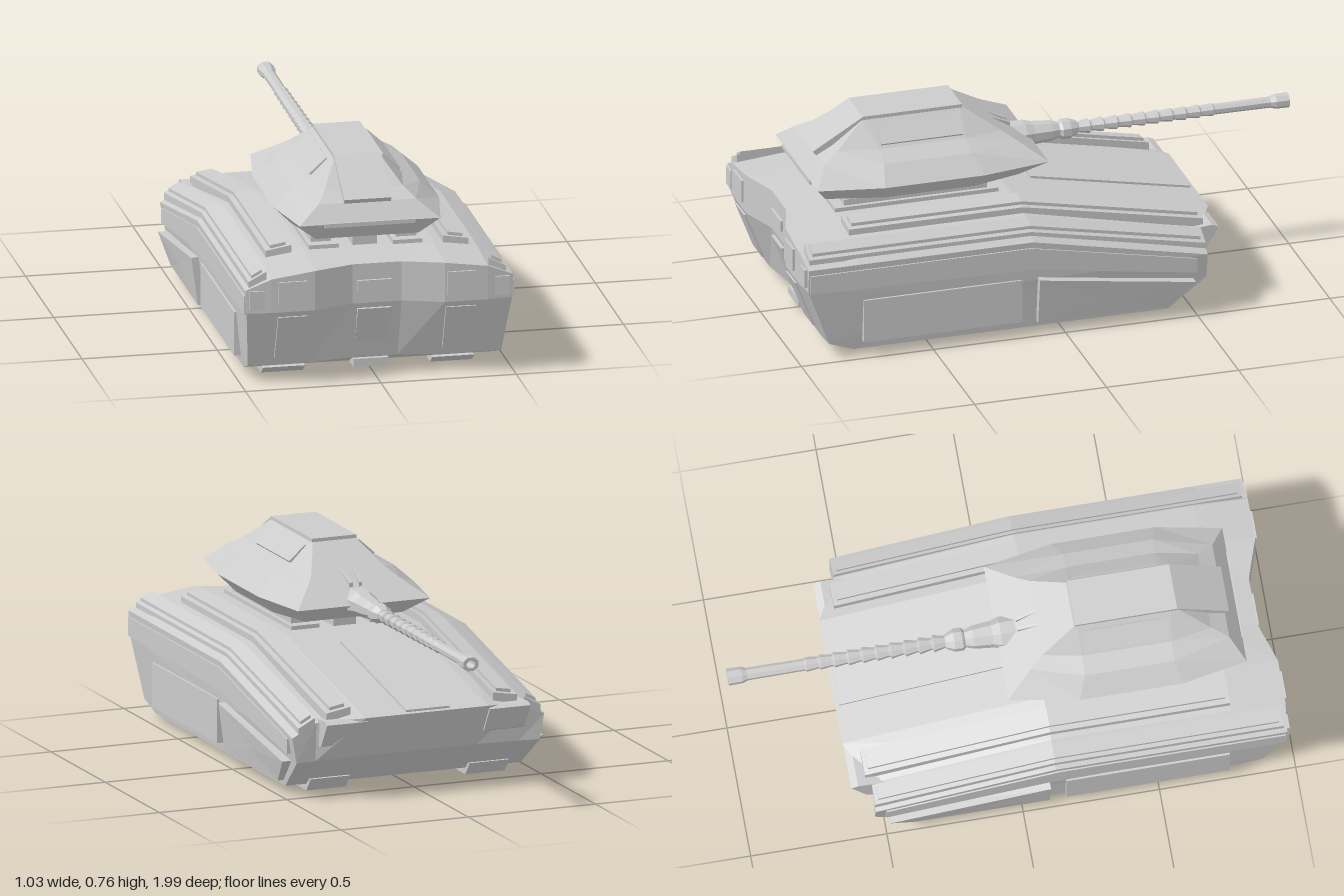
import * as THREE from 'three';

const mat = new THREE.MeshStandardMaterial({ color: 0xcccccc, flatShading: true, side: THREE.DoubleSide });
const C = -0.01; // centre line of the fittings

// Closed solid through rings of [x, y, z] points, capped at both ends
function loft(rings) {
  const n = rings[0].length, pos = [];
  const tri = (...p) => p.forEach(q => pos.push(...q));
  for (let i = 0; i < rings.length - 1; i++) {
    for (let j = 0; j < n; j++) {
      const a = rings[i][j], b = rings[i][(j + 1) % n];
      const c = rings[i + 1][(j + 1) % n], d = rings[i + 1][j];
      tri(a, b, c);
      tri(a, c, d);
    }
  }
  const cap = (r, flip) => {
    const m = [0, 1, 2].map(k => r.reduce((s, p) => s + p[k], 0) / n);
    r.forEach((p, j) => (flip ? tri(m, r[(j + 1) % n], p) : tri(m, p, r[(j + 1) % n])));
  };
  cap(rings[0], true);
  cap(rings[rings.length - 1], false);
  // turn the faces outward if the volume comes out negative
  let vol = 0;
  const v = i => new THREE.Vector3().fromArray(pos, i);
  for (let i = 0; i < pos.length; i += 9) vol += v(i).dot(v(i + 3).cross(v(i + 6)));
  if (vol < 0) {
    for (let i = 0; i < pos.length; i += 9) {
      for (let k = 0; k < 3; k++) [pos[i + 3 + k], pos[i + 6 + k]] = [pos[i + 6 + k], pos[i + 3 + k]];
    }
  }
  const g = new THREE.BufferGeometry();
  g.setAttribute('position', new THREE.Float32BufferAttribute(pos, 3));
  g.computeVertexNormals();
  return g;
}

export function createModel() {
  const model = new THREE.Group();
  const add = (name, geometry, parent = model) => {
    const m = new THREE.Mesh(geometry, mat);
    m.name = name;
    parent.add(m);
    return m;
  };
  // Side outline of [z, y] points spread from x0 to x1
  const prism = (name, x0, x1, pts, parent) =>
    add(name, loft([x0, x1].map(x => pts.map(([z, y]) => [x, y, z]))), parent);
  const box = (name, x0, x1, y0, y1, z0, z1, parent) =>
    prism(name, x0, x1, [[z0, y0], [z1, y0], [z1, y1], [z0, y1]], parent);
  // Same prism on both sides of the centre line
  const pair = (name, x0, x1, pts, c = C) => {
    prism(name + 'Left', c + x0, c + x1, pts);
    prism(name + 'Right', c - x1, c - x0, pts);
  };

  // Hull: one side outline per column, joined across the width
  const columns = [ // x, deck height, rear notch, lip z, lip y, under-lip z
    [0.09, 0.452, 0.05, -0.62, 0.305, -0.52],
    [0.24, 0.452, 0, -0.62, 0.305, -0.52],
    [0.40, 0.430, 0, -0.54, 0.285, -0.53],
    [0.495, 0.372, 0.01, -0.54, 0.235, -0.54],
  ];
  const outline = ([x, top, notch, lipZ, lipY, underZ], s) => {
    const outer = x > 0.45, X = k => s * (outer ? k : x);
    return [
      [X(0.463), 0.025, -0.40], [X(0.463), 0.025, 0.79],
      [X(0.468), 0.06, 0.89 - notch * 0.5], [X(0.49), 0.285, 0.98 - notch],
      [X(0.495), top - (outer ? 0 : 0.018), 0.98 - notch], [X(0.495), top, 0.78],
      [X(0.495), top, 0.12], [X(0.495), lipY, lipZ], [X(0.478), 0.14, underZ],
    ];
  };
  add('hull', loft([
    ...[...columns].reverse().map(c => outline(c, -1)),
    ...columns.map(c => outline(c, 1)),
  ]));

  // Belly tracks and nose pods
  pair('track', 0.235, 0.39, [[0.83, 0.03], [0.79, 0], [-0.40, 0], [-0.44, 0.05]]);
  pair('nosePod', 0.24, 0.40, [[-0.46, 0.29], [-0.59, 0.30], [-0.615, 0.29], [-0.56, 0.2], [-0.48, 0.17]]);
  prism('nosePlate', C - 0.07, C + 0.07, [[-0.57, 0.27], [-0.555, 0.2], [-0.51, 0.2], [-0.51, 0.27]]);

  // Deck rails: a base strip and a narrower raised strip, bent where the deck slopes
  const rail = (name, s, xi, yi, xo, yo, z0, z1) => {
    const c = s * -0.0 + C / 2;
    [[0, 0], [0.2, 0.012]].forEach(([inset, lift], layer) => {
      const f = t => [xi + (xo - xi) * t, yi + (yo - yi) * t + lift];
      const [a, ya] = f(inset), [b, yb] = f(1 - inset), e = layer * 0.015;
      add(name + (layer ? 'Raised' : 'Base'), loft([z0 - e, 0.12, z1 + e].map(z => {
        const drop = 0.2 * Math.max(0, 0.12 - z);
        return [[a, ya - 0.035], [a, ya], [b, yb], [b, yb - 0.035]]
          .map(([x, y]) => [c + s * x, y - drop, z]);
      })));
    });
  };
  for (const s of [1, -1]) {
    rail('innerRail', s, 0.28, 0.473, 0.375, 0.457, 0.78, -0.56);
    rail('outerRail', s, 0.41, 0.437, 0.475, 0.402, 0.96, -0.54);
  }

  // Side armour panels
  pair('rearSidePanel', 0.465, 0.492, [[0.76, 0.225], [0.76, 0.06], [0.16, 0.06], [0.16, 0.225]], 0);
  pair('sideStripe', 0.47, 0.499, [[0.965, 0.35], [0.965, 0.28], [0.1, 0.28], [-0.3, 0.2], [-0.5, 0.17], [-0.5, 0.225], [0.13, 0.35]], 0);
  for (const s of [1, -1]) {
    const skirt = (x, top, front) => [[0.1, top], [0.1, 0.045], [-0.39, 0.045], [front, 0.14]]
      .map(([z, y]) => [s * (y < 0.1 && x > 0.5 ? 0.488 : x), y, z]);
    add('frontSkirt', loft([skirt(0.46, 0.23, -0.49), skirt(0.513, 0.225, -0.49)]));
  }

  // Rear doors, lamps and handle
  const door = d => [[0.98 - d, 0.265], [0.912 - d, 0.09], [0.87 - d, 0.09], [0.94 - d, 0.265]];
  pair('rearDoor', 0.255, 0.365, door(0));
  prism('centreDoor', C - 0.062, C + 0.062, door(0.042));
  pair('rearLamp', 0.26, 0.365, [[0.988, 0.315], [0.988, 0.40], [0.95, 0.40], [0.95, 0.315]]);
  pair('cornerLamp', 0.425, 0.48, [[0.982, 0.30], [0.982, 0.37], [0.95, 0.37], [0.95, 0.30]], 0);
  box('rearHandle', C - 0.062, C + 0.062, 0.332, 0.373, 0.9, 0.94);
  box('rearStep', C - 0.065, C + 0.065, 0.025, 0.055, 0.8, 0.872);

  // Front deck spine, turret pedestal and deck blocks
  prism('deckSpine', C - 0.085, C + 0.085, [[0.0, 0.40], [0.0, 0.437], [-0.605, 0.316], [-0.605, 0.29]]);
  box('turretPedestal', C - 0.045, C + 0.045, 0.44, 0.505, 0.16, 0.76);
  pair('deckBlockBase', 0.1, 0.21, [[0.16, 0.44], [0.78, 0.44], [0.78, 0.467], [0.16, 0.467]]);
  pair('deckBlock', 0.12, 0.195, [[0.2, 0.46], [0.74, 0.46], [0.74, 0.49], [0.2, 0.49]]);

  // Turret: stacked eight-sided rings
  const turret = new THREE.Group();
  turret.name = 'turret';
  turret.position.x = -0.011;
  model.add(turret);
  add('turretShell', loft([ // y, end half-width, middle half-width, four z stations
    [0.50, 0.19, 0.24, 0.08, 0.26, 0.60, 0.81],
    [0.567, 0.26, 0.305, -0.015, 0.24, 0.62, 0.86],
    [0.63, 0.18, 0.237, 0.08, 0.27, 0.60, 0.81],
    [0.662, 0.145, 0.172, 0.13, 0.27, 0.60, 0.75],
    [0.745, 0.086, 0.088, 0.255, 0.27, 0.61, 0.64],
  ].map(([y, e, m, a, b, c, d]) => [
    [e, y, a], [m, y, b], [m, y, c], [e, y, d],
    [-e, y, d], [-m, y, c], [-m, y, b], [-e, y, a],
  ])), turret);
  prism('roofHatch', -0.087, 0.087,
    [[0.81, 0.625], [0.825, 0.645], [0.635, 0.758], [0.26, 0.758], [0.26, 0.735], [0.6, 0.7]], turret);
  box('turretRearSlot', -0.168, 0.168, 0.555, 0.57, 0.82, 0.863, turret);
  for (const s of [1, -1]) {
    add('turretSideHatch', loft([0.28, 0.59].map(z =>
      [[0.105, 0.735], [0.168, 0.678], [0.15, 0.655], [0.09, 0.715]].map(([x, y]) => [s * x, y, z]))), turret);
    // Slim fin behind the gun
    add('gunFin', loft([[0.06, 0.012, 0.025, 0.625], [0.22, 0.034, 0.038, 0.695]].map(([z, a, b, y]) =>
      [[s * a, y - 0.03, z], [s * b, y - 0.03, z], [s * b, y + 0.008, z], [s * a, y + 0.008, z]])), turret);
  }

  // Gun: ribbed barrel turned about its axis
  const profile = [[0, -0.06], [0.05, -0.06], [0.05, 0.0], [0.042, 0.03], [0.036, 0.1], [0.028, 0.13], [0.036, 0.14], [0.036, 0.17], [0.024, 0.2]];
  for (let i = 0; i < 10; i++) {
    const d = 0.2 + i * 0.052;
    profile.push([0.019, d + 0.004], [0.027 - i * 0.0004, d + 0.045], [0.019, d + 0.05]);
  }
  profile.push([0.019, 0.75], [0.02, 0.93], [0.026, 0.95], [0.027, 1.0], [0.015, 1.0], [0.015, 0.94], [0, 0.94]);
  const barrel = new THREE.LatheGeometry(profile.map(p => new THREE.Vector2(...p)), 8, Math.PI / 8);
  barrel.rotateX(-Math.PI / 2);
  barrel.scale(1.2, 1, 1);
  add('gunBarrel', barrel, turret).position.y = 0.567;

  return model;
}
